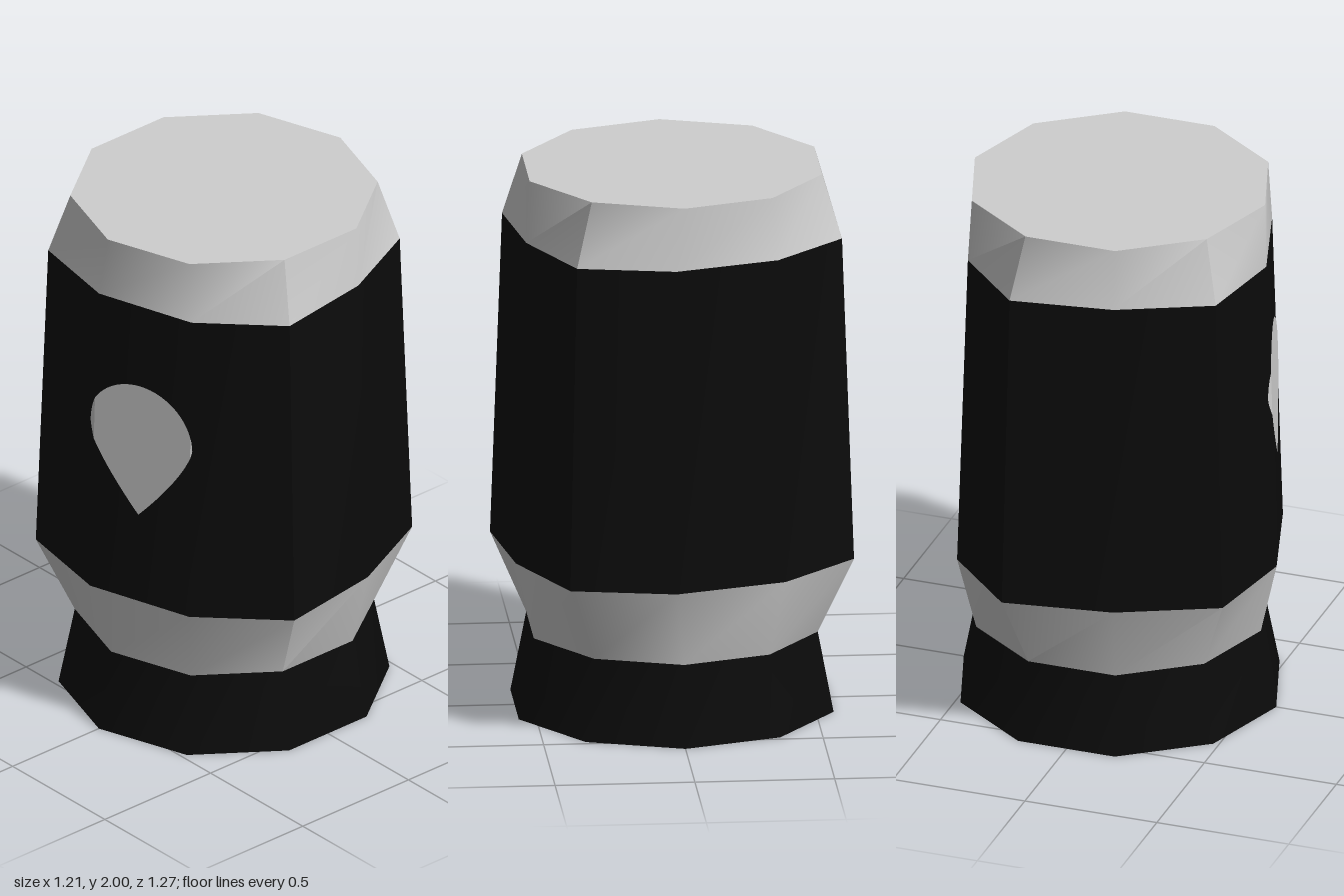
import * as THREE from 'three';
import { toCreasedNormals } from 'three/addons/utils/BufferGeometryUtils.js';

const N = 10;

// Regular ten-sided ring, counter-clockwise from above
const regular = (r, y) => Array.from({ length: N }, (_, k) => {
  const a = (k / N) * Math.PI * 2;
  return new THREE.Vector3(r * Math.cos(a), y, -r * Math.sin(a));
});

// Uneven ring of the body: five corners, repeated after a half turn
const half = [[0.605, 0.032], [0.485, -0.367], [0.22, -0.633], [-0.18, -0.573], [-0.535, -0.407]];
const uneven = (y) => {
  const s = 1 - 0.066 * (y - 0.58) / 1.19;
  return [1, -1].flatMap((m) => half.map(([x, z]) => new THREE.Vector3(m * s * x, y, m * s * z)));
};

function geometryFrom(points) {
  const g = new THREE.BufferGeometry().setFromPoints(points);
  g.computeVertexNormals();
  return g;
}

// Side wall between two rings
function wall(low, high) {
  const pts = [];
  for (let k = 0; k < N; k++) {
    const j = (k + 1) % N;
    pts.push(low[k], low[j], high[j], low[k], high[j], high[k]);
  }
  return toCreasedNormals(geometryFrom(pts), THREE.MathUtils.degToRad(40));
}

// Flat end closing a ring
function cap(ring, up) {
  const c = new THREE.Vector3(0, ring[0].y, 0);
  const pts = [];
  for (let k = 0; k < N; k++) {
    const j = (k + 1) % N;
    pts.push(c, up ? ring[k] : ring[j], up ? ring[j] : ring[k]);
  }
  return geometryFrom(pts);
}

// Point on the body wall; s counts corners around the ring
function onBody(s, y) {
  const ring = uneven(y), k = Math.floor(s);
  const p = ring[k % N].clone().lerp(ring[(k + 1) % N], s - k);
  return new THREE.Vector3(p.x * 1.007, y, p.z * 1.007);
}

// Teardrop, round above and pointed below, folded around the body corners
function teardrop() {
  const centre = 5.475, w = 0.545, cols = [5, 6];
  for (let i = 0; i <= 32; i++) cols.push(centre - w * Math.cos((i / 32) * Math.PI));
  cols.sort((a, b) => a - b);
  const column = (s) => {
    const u = Math.min(1, Math.abs(s - centre) / w);
    return [onBody(s, 1.25 - 0.32 * Math.pow(1 - u, 0.75)), onBody(s, 1.25 + 0.2 * Math.sqrt(1 - u * u))];
  };
  const pts = [];
  for (let i = 0; i + 1 < cols.length; i++) {
    const [a, d] = column(cols[i]), [b, c] = column(cols[i + 1]);
    pts.push(a, b, c, a, c, d);
  }
  return geometryFrom(pts);
}

export function createModel() {
  const black = new THREE.MeshStandardMaterial({ name: 'black', color: 0x0b0b0b });
  const silver = new THREE.MeshStandardMaterial({ name: 'silver', color: 0xcecece });
  const group = new THREE.Group();
  const add = (name, geometry, material) => {
    const mesh = new THREE.Mesh(geometry, material);
    mesh.name = name;
    group.add(mesh);
  };

  const foot = regular(0.592, 0), neck = regular(0.534, 0.295);
  const hip = uneven(0.58), shoulder = uneven(1.77), top = regular(0.55, 2);

  add('baseUnderside', cap(foot, false), black);
  add('base', wall(foot, neck), black);
  add('lowerBand', wall(neck, hip), silver);
  add('body', wall(hip, shoulder), black);
  add('upperBand', wall(shoulder, top), silver);
  add('lid', cap(top, true), silver);
  add('teardropMark', teardrop(), silver);
  return group;
}
